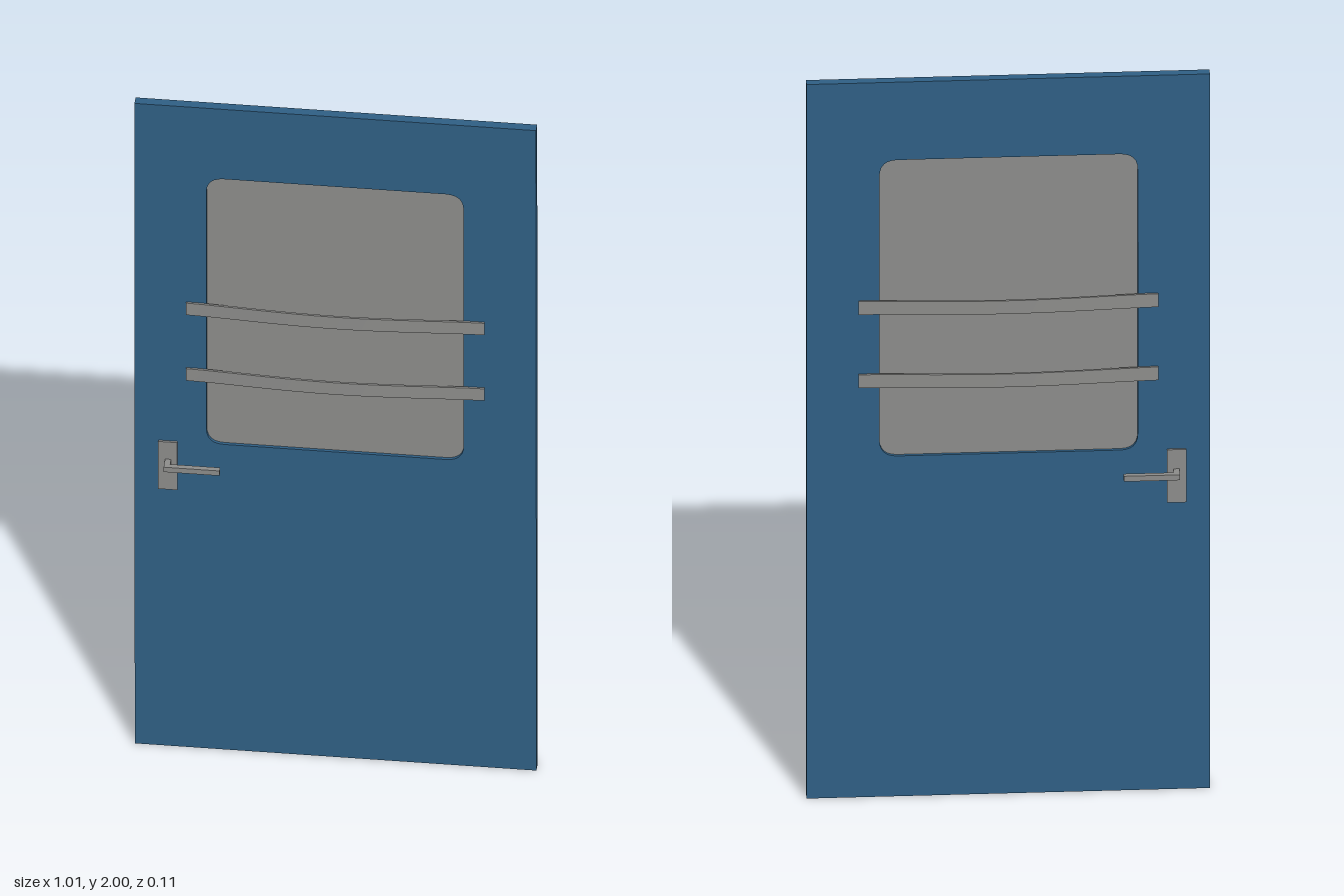
import * as THREE from 'three';

const HALF_T = 0.0125; // half the door thickness

function roundedRect(target, x0, y0, x1, y1, r) {
  target.moveTo(x0 + r, y0);
  target.lineTo(x1 - r, y0);
  target.quadraticCurveTo(x1, y0, x1, y0 + r);
  target.lineTo(x1, y1 - r);
  target.quadraticCurveTo(x1, y1, x1 - r, y1);
  target.lineTo(x0 + r, y1);
  target.quadraticCurveTo(x0, y1, x0, y1 - r);
  target.lineTo(x0, y0 + r);
  target.quadraticCurveTo(x0, y0, x0 + r, y0);
  return target;
}

export function createModel() {
  const blue = new THREE.MeshStandardMaterial({ color: 0x2f5f84 });
  blue.name = 'blue paint';
  const grey = new THREE.MeshStandardMaterial({ color: 0x8c8c8a });
  grey.name = 'grey metal and glass';

  const model = new THREE.Group();
  model.name = 'door';

  const add = (parent, name, geometry, material, x = 0, y = 0, z = 0) => {
    const mesh = new THREE.Mesh(geometry, material);
    mesh.name = name;
    mesh.position.set(x, y, z);
    parent.add(mesh);
    return mesh;
  };

  // Everything leans very slightly forward, pivoting at handle height
  const leaf = new THREE.Group();
  leaf.name = 'doorLeaf';
  leaf.position.y = 0.89;
  leaf.rotation.x = 0.003;
  model.add(leaf);
  const parts = new THREE.Group();
  parts.name = 'doorParts';
  parts.position.y = -0.89;
  leaf.add(parts);

  // Panel with a rounded window opening
  const outline = new THREE.Shape();
  outline.moveTo(-0.506, 0).lineTo(0.506, 0).lineTo(0.506, 2).lineTo(-0.506, 2).closePath();
  outline.holes.push(roundedRect(new THREE.Path(), -0.325, 0.953, 0.323, 1.782, 0.045));
  const panel = new THREE.ExtrudeGeometry(outline, { depth: HALF_T * 2, bevelEnabled: false, curveSegments: 6 });
  add(parts, 'panel', panel, blue, 0, 0, -HALF_T);

  // Recessed pane
  const paneShape = roundedRect(new THREE.Shape(), -0.325, 0.953, 0.323, 1.782, 0.045);
  const pane = new THREE.ExtrudeGeometry(paneShape, { depth: 0.008, bevelEnabled: false, curveSegments: 6 });
  add(parts, 'windowPane', pane, grey, 0, 0, -0.004);

  // Curved guard bar, bowed outwards with flat ends
  const barGeometry = () => {
    const g = new THREE.BoxGeometry(0.752, 0.037, 0.006, 16, 1, 1);
    const p = g.attributes.position;
    for (let i = 0; i < p.count; i++) {
      const bow = 0.5 + 0.5 * Math.cos((p.getX(i) / 0.376) * Math.PI);
      p.setZ(i, p.getZ(i) + 0.017 * Math.pow(bow, 0.7));
    }
    g.computeVertexNormals();
    return g;
  };

  // Matching bars and handle on both faces
  for (const side of [1, -1]) {
    const face = new THREE.Group();
    face.name = side > 0 ? 'frontFittings' : 'backFittings';
    parts.add(face);

    for (const y of [1.372, 1.167]) {
      const bar = add(face, 'guardBar', barGeometry(), grey, 0, y, side * (HALF_T + 0.002));
      if (side < 0) bar.rotation.y = Math.PI;
    }

    add(face, 'handlePlate', new THREE.BoxGeometry(0.048, 0.148, 0.006), grey, -0.422, 0.879, side * (HALF_T + 0.003));
    add(face, 'handleStem', new THREE.BoxGeometry(0.015, 0.015, 0.04), grey, -0.421, 0.892, side * 0.032);
    add(face, 'handleLever', new THREE.BoxGeometry(0.141, 0.015, 0.014), grey, -0.358, 0.892, side * 0.046);
  }
  return model;
}
